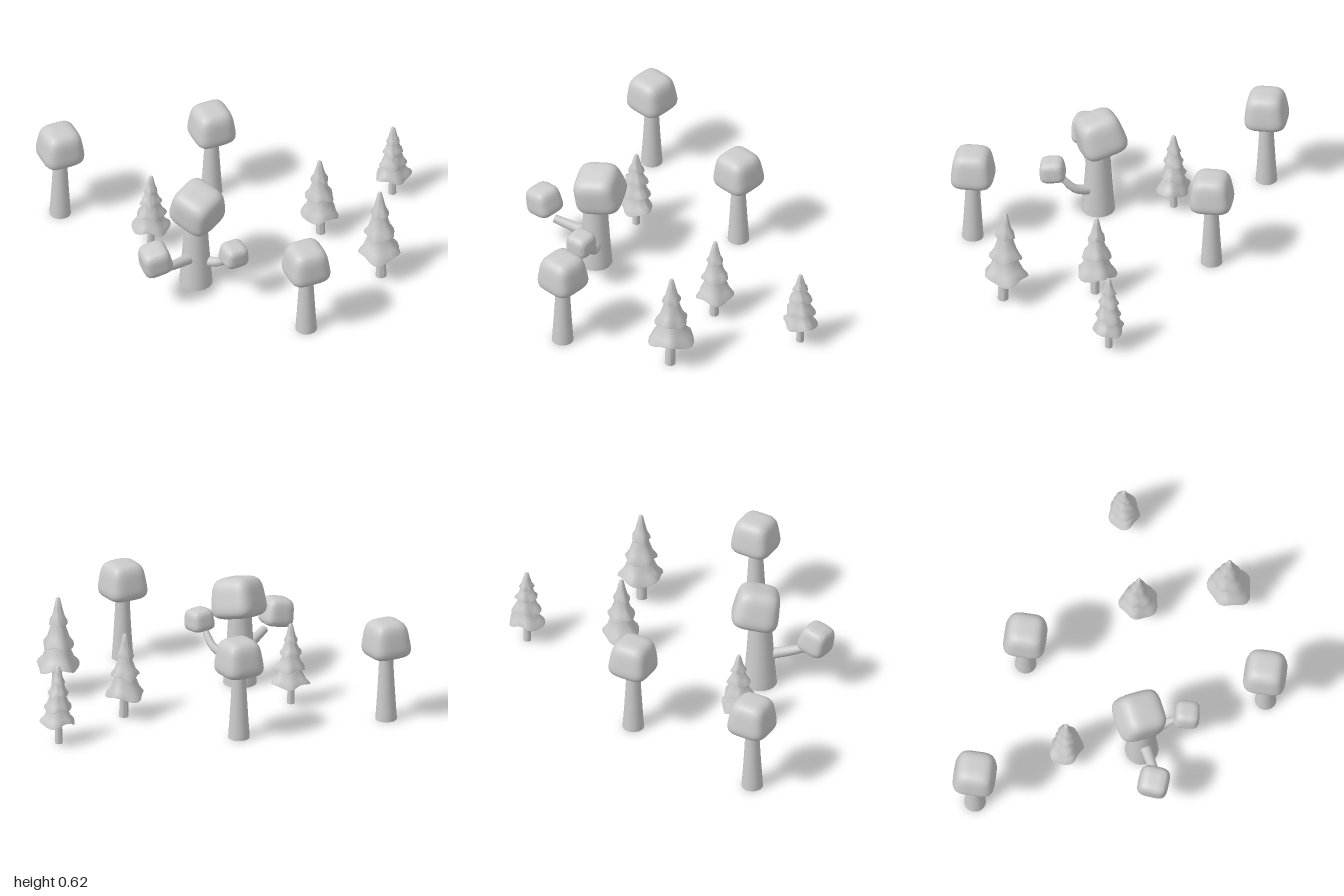
import * as THREE from 'three';
import { mergeVertices, toCreasedNormals } from 'three/addons/utils/BufferGeometryUtils.js';

const material = new THREE.MeshStandardMaterial({ color: 0xcccccc, side: THREE.DoubleSide });

// Move every vertex by a rule, then weld and shade smoothly with sharp creases.
function shape(geometry, rule, crease = 0.9) {
  const p = geometry.attributes.position;
  const v = new THREE.Vector3();
  for (let i = 0; i < p.count; i++) {
    v.fromBufferAttribute(p, i);
    rule(v);
    p.setXYZ(i, v.x, v.y, v.z);
  }
  geometry.deleteAttribute('uv');
  geometry.deleteAttribute('normal');
  return toCreasedNormals(mergeVertices(geometry, 1e-5), crease);
}

function part(name, geometry) {
  const mesh = new THREE.Mesh(geometry, material);
  mesh.name = name;
  return mesh;
}

// Tapered, capped cylinder bent along a curve
function limb(name, points, r0, r1) {
  const curve = new THREE.CatmullRomCurve3(points.map((p) => new THREE.Vector3(...p)));
  const up = new THREE.Vector3(0, 1, 0);
  const q = new THREE.Quaternion();
  const geo = new THREE.CylinderGeometry(r1, r0, 1, 16, 8);
  return part(name, shape(geo, (v) => {
    const t = THREE.MathUtils.clamp(v.y + 0.5, 0, 1);
    q.setFromUnitVectors(up, curve.getTangent(t));
    v.y = 0;
    v.applyQuaternion(q).add(curve.getPoint(t));
  }));
}

// Upright trunk: base flat on the ground, slightly flared at the foot
function trunk(h, r0, r1, leanX = 0, leanZ = 0) {
  const geo = new THREE.CylinderGeometry(1, 1, 1, 20, 8);
  return part('trunk', shape(geo, (v) => {
    const t = v.y + 0.5;
    const r = r1 + (r0 - r1) * Math.pow(1 - t, 1.3);
    v.set(v.x * r + leanX * t * t, t * h, v.z * r + leanZ * t * t);
  }));
}

// Rounded-cube crown, wider below than above
function crown(name, [x, y, z], w, h, taper, [rx, ry, rz]) {
  const geo = new THREE.BoxGeometry(2, 2, 2, 14, 14, 14);
  const mesh = part(name, shape(geo, (v) => {
    const n = Math.pow(v.x ** 4 + v.y ** 4 + v.z ** 4, 0.25);
    v.divideScalar(n);
    const s = w * (1 - taper * v.y);
    v.set(v.x * s, v.y * h, v.z * s);
  }, 1.2));
  mesh.position.set(x, y, z);
  mesh.rotation.set(rx, ry, rz);
  return mesh;
}

// One wavy skirt of a conifer, hollow underneath
function skirt(y0, R, y1, r1, phase, stretch, tip) {
  const h = y1 - y0;
  const profile = [
    [0, y0 + h * 0.35], [R * 0.5, y0 + h * 0.2], [R, y0], [R * 0.99, y0 + h * 0.06],
    [THREE.MathUtils.lerp(R, r1, 0.42), y0 + h * 0.28],
    [THREE.MathUtils.lerp(R, r1, 0.74), y0 + h * 0.62],
    [r1, y1 - (tip ? 0.008 : 0)], [tip ? r1 * 0.6 : r1 * 0.9, y1], [0, y1],
  ].map(([r, y]) => new THREE.Vector2(r, y));
  return shape(new THREE.LatheGeometry(profile, 30), (v) => {
    const a = Math.atan2(v.x, v.z);
    const k = Math.min(1, Math.hypot(v.x, v.z) / R) ** 2;
    const f = 1 + k * (stretch * Math.cos(2 * (a - phase)) + 0.07 * Math.cos(5 * a + phase * 3));
    v.x *= f;
    v.z *= f;
    v.y += k * R * 0.13 * Math.sin(3 * a + phase * 2);
  });
}

function conifer({ x, z, height, tiers, trunkR, phase, stretch, lean }) {
  const tree = new THREE.Group();
  tree.name = 'conifer';
  tree.position.set(x, 0, z);
  tree.add(trunk(tiers[0][0] + 0.06, trunkR, trunkR * 0.85, lean[0], lean[1]));
  tiers.forEach(([y0, R], i) => {
    const next = tiers[i + 1];
    const geo = next
      ? skirt(y0, R, next[0] + 0.025, next[1] * 0.65, phase + i * 0.35, stretch, false)
      : skirt(y0, R, height, 0.012, phase + i * 0.35, stretch, true);
    const mesh = part('needleTier', geo);
    mesh.position.set(lean[0], 0, lean[1]);
    tree.add(mesh);
  });
  return tree;
}

function roundTree(x, z, top) {
  const tree = new THREE.Group();
  tree.name = 'roundTree';
  tree.position.set(x, 0, z);
  tree.add(trunk(0.4, 0.058, 0.036));
  tree.add(crown('crown', [0, top - 0.1, 0], 0.108, 0.102, 0.14, [0.04, 0.22, 0]));
  return tree;
}

// Large tree with two side branches, each ending in a small crown
function branchedTree() {
  const tree = new THREE.Group();
  tree.name = 'branchedTree';
  const stem = trunk(0.42, 0.09, 0.062);
  stem.position.set(-0.288, 0, 0.11);
  tree.add(
    stem,
    crown('mainCrown', [-0.275, 0.495, 0.098], 0.122, 0.112, 0.1, [0.3, 0.7, 0]),
    limb('rightBranch', [[-0.31, 0.18, 0.13], [-0.4, 0.205, 0.2], [-0.47, 0.228, 0.255]], 0.032, 0.022),
    crown('rightCrown', [-0.545, 0.316, 0.275], 0.08, 0.078, 0.08, [0.1, 0.15, 0.18]),
    limb('leftBranch', [[-0.25, 0.14, 0.13], [-0.17, 0.18, 0.2], [-0.135, 0.28, 0.285]], 0.03, 0.016),
    crown('leftCrown', [-0.122, 0.307, 0.307], 0.067, 0.06, 0.08, [0.1, 0.3, -0.06]),
  );
  return tree;
}

export function createModel() {
  const model = new THREE.Group();
  model.name = 'grove';

  [[-0.877, -0.62, 0.562], [-0.047, -0.64, 0.56], [0.205, 0.633, 0.55]]
    .forEach((t) => model.add(roundTree(...t)));

  model.add(branchedTree());

  [
    { x: 0.45, z: -0.17, height: 0.475, trunkR: 0.025, phase: 0.4, stretch: 0.04, lean: [-0.004, -0.008],
      tiers: [[0.128, 0.1], [0.24, 0.074], [0.345, 0.045]] },
    { x: 0.69, z: 0.262, height: 0.55, trunkR: 0.029, phase: 2.7, stretch: 0.05, lean: [-0.004, -0.012],
      tiers: [[0.158, 0.115], [0.275, 0.084], [0.405, 0.05]] },
    { x: 0.895, z: -0.43, height: 0.44, trunkR: 0.021, phase: 1.8, stretch: 0.1, lean: [0.004, 0],
      tiers: [[0.12, 0.089], [0.2, 0.072], [0.28, 0.056], [0.345, 0.038]] },
    { x: -0.458, z: -0.255, height: 0.455, trunkR: 0.02, phase: 1.45, stretch: 0.12, lean: [0, 0],
      tiers: [[0.115, 0.092], [0.2, 0.074], [0.285, 0.057], [0.355, 0.038]] },
  ].forEach((c) => model.add(conifer(c)));

  return model;
}
